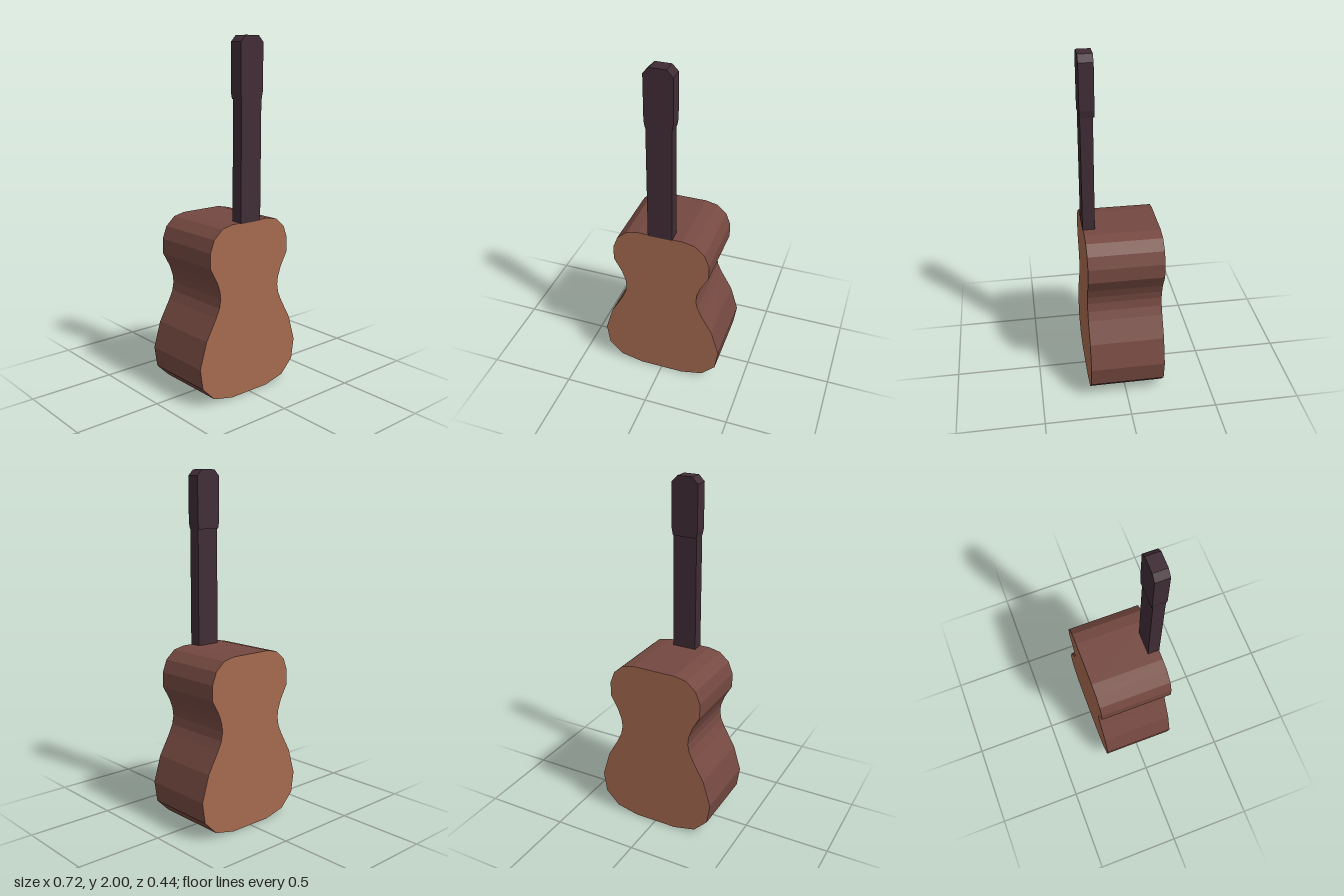
import * as THREE from 'three';

// Closed, left-right symmetric shape from the points of its +x half, bottom to top
function mirroredShape(half) {
  const left = half.map(([x, y]) => [-x, y]).reverse();
  return new THREE.Shape([...half, ...left].map(([x, y]) => new THREE.Vector2(x, y)));
}

// Flat-sided slab of a mirrored outline between two depths
function slab(name, half, zBack, zFront, material) {
  const geometry = new THREE.ExtrudeGeometry(mirroredShape(half), {
    depth: zFront - zBack, bevelEnabled: false,
  });
  geometry.translate(0, 0, zBack);
  const mesh = new THREE.Mesh(geometry, material);
  mesh.name = name;
  return mesh;
}

function flatColour(name, color) {
  const material = new THREE.MeshStandardMaterial({ color, flatShading: true });
  material.name = name;
  return material;
}

export function createModel() {
  const faceWood = flatColour('light face wood', 0xa5694e);
  const sideWood = flatColour('reddish side wood', 0x754941);
  const neckWood = flatColour('dark neck wood', 0x402c35);

  const guitar = new THREE.Group();
  guitar.name = 'guitar';

  // Hourglass sound box: light front and back, darker sides
  const bodyHalf = [
    [0.13, 0], [0.26, 0.03], [0.34, 0.11], [0.358, 0.23], [0.313, 0.38],
    [0.245, 0.5], [0.222, 0.55], [0.213, 0.6], [0.218, 0.645], [0.237, 0.7],
    [0.284, 0.785], [0.284, 0.87], [0.257, 0.94], [0.2, 0.99], [0.13, 1.005],
  ];
  guitar.add(slab('body', bodyHalf, -0.218, 0.212, [faceWood, sideWood]));

  // Straight neck rising from the front edge of the body
  guitar.add(slab('neck', [[0.071, 1], [0.071, 1.69]], 0.145, 0.214, neckWood));

  // Slightly wider headstock with a tapered base and clipped top corners
  const headHalf = [[0.071, 1.67], [0.079, 1.71], [0.079, 1.965], [0.045, 2]];
  guitar.add(slab('headstock', headHalf, 0.137, 0.217, neckWood));

  return guitar;
}
